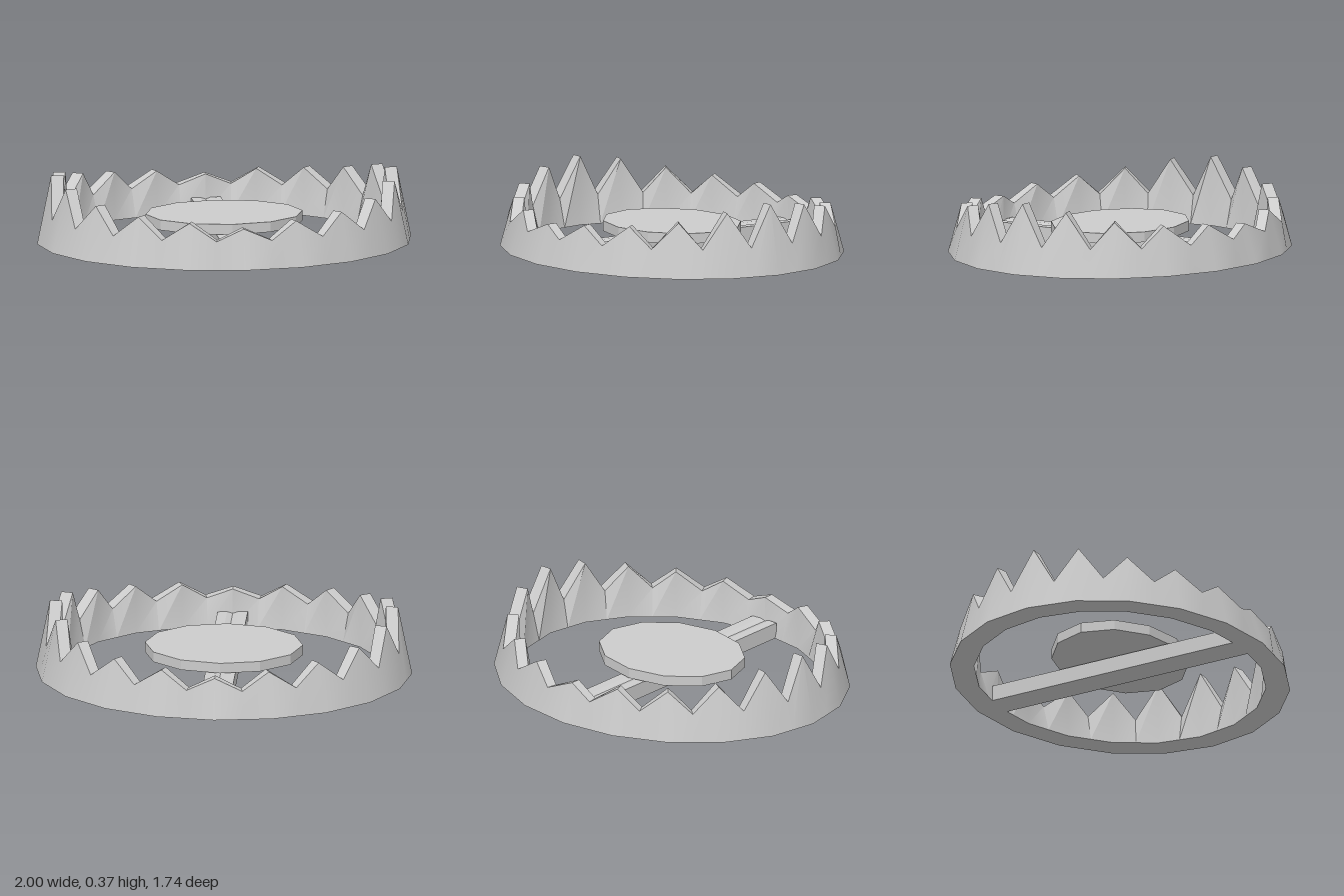
import * as THREE from 'three';
import { toCreasedNormals } from 'three/addons/utils/BufferGeometryUtils.js';

const TEETH = 20;
const PEAKS = [0.21, 0.24, 0.26, 0.29, 0.34, 0.37]; // tooth heights from front/back to the sides
const VALLEY = 0.15;

// Point on an ellipse, t measured from the front (+z) towards +x
const onEllipse = (rx, rz, y, t) => new THREE.Vector3(rx * Math.sin(t), y, rz * Math.cos(t));

// Point of the base polygon: corners under the peaks, chord midpoints under the valleys
function onBase(rx, rz, k) {
  const step = Math.PI / TEETH;
  if (k % 2 === 0) return onEllipse(rx, rz, 0, k * step);
  return onEllipse(rx, rz, 0, (k - 1) * step).lerp(onEllipse(rx, rz, 0, (k + 1) * step), 0.5);
}

// Oval jaw: a four-point cross-section swept round, rising and leaning inwards at each tooth
function jawGeometry() {
  const stations = TEETH * 2, pos = [], index = [];
  for (let k = 0; k < stations; k++) {
    const t = k * Math.PI / TEETH, peak = k % 2 === 0;
    const n = (k / 2) % 10;
    const h = peak ? PEAKS[n <= 5 ? n : 10 - n] : VALLEY;
    const section = [
      onBase(1, 0.87, k),
      peak ? onEllipse(0.925, 0.80, h, t) : onEllipse(0.95, 0.838, h, t),
      peak ? onEllipse(0.86, 0.745, h, t) : onEllipse(0.885, 0.78, h, t),
      onBase(0.86, 0.745, k),
    ];
    section.forEach((p) => pos.push(p.x, p.y, p.z));
    const a = k * 4, b = ((k + 1) % stations) * 4;
    for (let m = 0; m < 4; m++) {
      const n2 = (m + 1) % 4;
      index.push(a + m, b + m, b + n2, a + m, b + n2, a + n2);
    }
  }
  const g = new THREE.BufferGeometry();
  g.setAttribute('position', new THREE.Float32BufferAttribute(pos, 3));
  g.setIndex(index);
  return toCreasedNormals(g, Math.PI / 6);
}

// Cross bar with a shallow groove along its top
function barGeometry() {
  const profile = [[-0.08, 0], [0.08, 0], [0.08, 0.085], [0.03, 0.085], [0, 0.075], [-0.03, 0.085], [-0.08, 0.085]];
  const shape = new THREE.Shape(profile.map(([x, y]) => new THREE.Vector2(x, y)));
  const length = 1.49;
  return new THREE.ExtrudeGeometry(shape, { depth: length, bevelEnabled: false }).translate(0, 0, -length / 2);
}

export function createModel() {
  const group = new THREE.Group();
  group.name = 'jawTrap';
  const material = new THREE.MeshStandardMaterial({ color: 0xcccccc });
  const flat = new THREE.MeshStandardMaterial({ color: 0xcccccc, flatShading: true });
  const add = (name, geometry, mat) => {
    const mesh = new THREE.Mesh(geometry, mat);
    mesh.name = name;
    group.add(mesh);
    return mesh;
  };

  add('toothedJaw', jawGeometry(), material);
  add('crossBar', barGeometry(), flat);

  // Twelve-sided oval trigger plate resting above the bar
  const plate = add('triggerPlate', new THREE.CylinderGeometry(1, 1, 0.055, 12), flat);
  plate.scale.set(0.42, 1, 0.345);
  plate.position.y = 0.12;

  return group;
}
